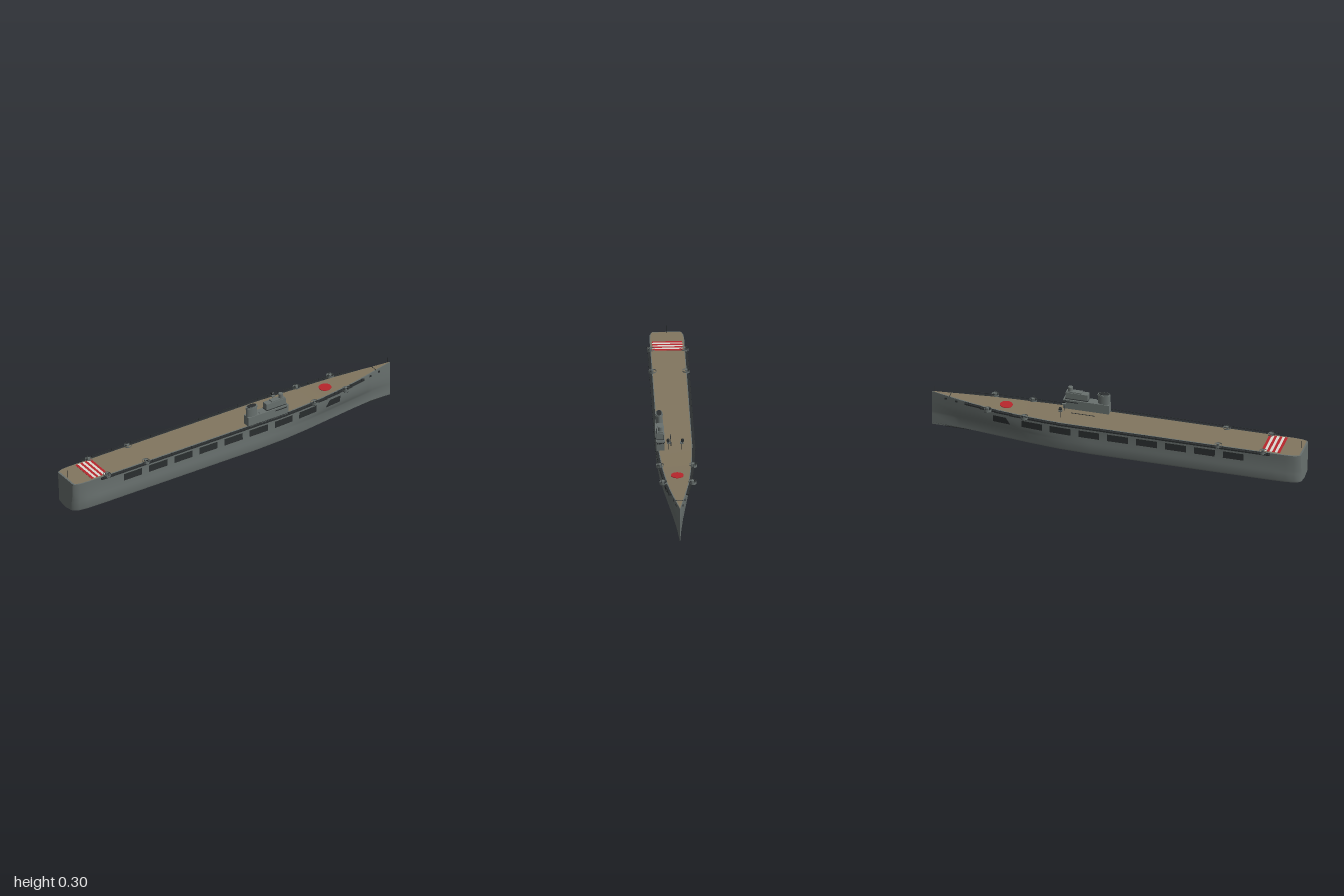
import * as THREE from 'three';
import { toCreasedNormals } from 'three/addons/utils/BufferGeometryUtils.js';

const mat = (name, color, side = THREE.FrontSide) => {
  const m = new THREE.MeshStandardMaterial({ color, side });
  m.name = name;
  return m;
};

// piecewise linear lookup in [x, value] pairs
function lookup(t, x) {
  if (x <= t[0][0]) return t[0][1];
  for (let i = 1; i < t.length; i++) {
    const [x0, v0] = t[i - 1], [x1, v1] = t[i];
    if (x <= x1) return v0 + (v1 - v0) * (x - x0) / (x1 - x0);
  }
  return t[t.length - 1][1];
}
const deckTable = [[-1, .07], [-.99, .079], [-.965, .087], [-.92, .09], [.25, .09], [.4, .083], [.55, .072], [.7, .056], [.85, .031], [1, .0005]];
const bilgeTable = [[-1, .06], [-.99, .073], [-.965, .084], [-.92, .09], [-.85, .092], [.12, .092], [.3, .084], [.45, .068], [.6, .047], [.75, .026], [.88, .011], [1, .0005]];
const sheerTable = [[-1, .176], [.3, .174], [.5, .177], [.75, .186], [1, .2]];
const deckHalf = x => lookup(deckTable, x);
const sheer = x => lookup(sheerTable, x);

// half section as [y, z], from keel to deck edge
function section(x) {
  const b = lookup(bilgeTable, x), d = deckHalf(x);
  return [[.002, 0], [.013, b * .97], [.022, b], [.065, b], [.08, b + (d * .98 - b) * .35], [.105, b + (d * .98 - b) * .75], [.14, d * .98], [sheer(x), d]];
}
const sideZ = (x, y) => lookup(section(x), y);
const stations = [...new Set([...deckTable, ...bilgeTable, ...sheerTable].map(p => p[0]))].sort((a, b) => a - b);

function gridGeometry(rings, caps) {
  const pos = [], idx = [], n = rings[0].length;
  rings.forEach(r => r.forEach(p => pos.push(...p)));
  for (let i = 0; i < rings.length - 1; i++) for (let j = 0; j < n - 1; j++) {
    const a = i * n + j, b = a + n;
    idx.push(a, b, a + 1, b, b + 1, a + 1);
  }
  if (caps) for (let j = 1; j < n - 1; j++) idx.push(0, j, j + 1);
  const g = new THREE.BufferGeometry();
  g.setAttribute('position', new THREE.Float32BufferAttribute(pos, 3));
  g.setIndex(idx);
  g.computeVertexNormals();
  return g;
}

export function createModel() {
  const ship = new THREE.Group();
  ship.name = 'carrier';
  const grey = mat('hull grey', 0x69716f, THREE.DoubleSide);
  const tan = mat('deck tan', 0x82765f, THREE.DoubleSide);
  const dark = mat('dark grey', 0x2b2f30, THREE.DoubleSide);
  const red = mat('red', 0xb8262c);
  const white = mat('white', 0xdcdad2);
  const add = (name, geo, m, x = 0, y = 0, z = 0, parent = ship) => {
    const mesh = new THREE.Mesh(geo, m);
    mesh.name = name;
    mesh.position.set(x, y, z);
    parent.add(mesh);
    return mesh;
  };
  const box = (name, w, h, d, m, x, y, z, parent) => add(name, new THREE.BoxGeometry(w, h, d), m, x, y, z, parent);
  const cyl = (name, r, h, m, x, y, z, parent, sides = 16) => add(name, new THREE.CylinderGeometry(r, r, h, sides), m, x, y, z, parent);

  // hull: loft of closed sections, port and starboard
  const rings = stations.map(x => {
    const s = section(x);
    const ring = [...s.map(([y, z]) => [x, y, z]), ...s.slice(1).reverse().map(([y, z]) => [x, y, -z])];
    return [...ring, ring[0]];
  });
  add('hull', toCreasedNormals(gridGeometry(rings, true), .6), grey);
  box('keel', 1.9, .004, .006, dark, -.02, .002, 0);

  // flight deck, slightly inside the hull edge
  const deckRings = stations.map(x => {
    const px = Math.max(x, -.992), z = Math.max(deckHalf(px) - .004, 0);
    return [[px, sheer(px) + .002, z], [px, sheer(px) + .002, -z]];
  });
  add('flightDeck', gridGeometry(deckRings), tan);

  // stern stripes and deck disc
  for (let i = 0; i < 7; i++)
    box('sternStripe', .0142, .002, .156, i % 2 ? white : red, -.882 + i * .0142, sheer(-.84) + .0025, 0);
  const disc = cyl('deckDisc', .033, .004, red, .6, sheer(.6) + .003, 0, ship, 32);
  disc.rotation.z = .036;
  box('deckSlot', .13, .002, .004, dark, .195, .1765, .02);

  // hangar openings follow the hull side
  const opening = (x0, x1, top0, s) => {
    const rows = [];
    for (let i = 0; i <= 4; i++) {
      const row = [];
      for (let j = 0; j <= 2; j++) {
        const y = .108 + .039 * j / 2, a = x0 + (top0 - x0) * j / 2;
        const x = a + (x1 - a) * i / 4;
        row.push([x, y, s * (sideZ(x, y) + .0025)]);
      }
      rows.push(row);
    }
    add('hangarOpening', gridGeometry(rows), dark);
  };

  for (const s of [1, -1]) {
    for (let i = 0; i < 8; i++) {
      const x = -.698 + i * .155;
      opening(x, x + .112, x, s);
    }
    opening(.56, .655, .585, s);

    // straight catwalk, then stepped lengths along the tapering bow
    box('catwalk', 1.14, .008, .014, dark, -.27, .17, s * .097);
    box('catwalkRail', 1.14, .002, .002, dark, -.27, .182, s * .103);
    for (let i = 0; i < 6; i++) {
      const a = .3 + i * .084, b = a + .09, m = (a + b) / 2;
      const slope = Math.atan2(deckHalf(b) - deckHalf(a), b - a);
      const walk = box('bowCatwalk', .092, .008, .014, dark, m, sheer(m) - .005, s * (deckHalf(m) + .007));
      const rail = box('bowRail', .092, .002, .002, dark, m, sheer(m) + .007, s * (deckHalf(m) + .013));
      walk.rotation.y = rail.rotation.y = -s * slope;
    }
    for (let x = -.83; x < .8; x += .06)
      box('railPost', .002, .018, .002, dark, x, sheer(x) + .001, s * (deckHalf(x) + .013));

    // gun tubs
    for (const [x, z] of [[-.8, .087], [-.56, .087], [.48, .086], [.68, .076]]) {
      const gun = new THREE.Group();
      gun.name = 'gunTub';
      gun.position.set(x, sheer(x), s * z);
      ship.add(gun);
      cyl('tubFloor', .019, .006, dark, 0, -.005, 0, gun);
      add('tubWall', new THREE.CylinderGeometry(.02, .02, .014, 16, 1, true), grey, 0, .001, 0, gun);
      box('gunMount', .014, .012, .012, grey, 0, .006, 0, gun);
      for (const o of [-.003, .003]) {
        const barrel = cyl('gunBarrel', .0015, .024, dark, o, .012, s * .01, gun, 8);
        barrel.rotation.x = s * 1.2;
      }
    }

    // anchors
    for (const x of [.86, .92])
      box('anchor', .012, .01, .004, dark, x, .178, s * (sideZ(x, .178) + .001));

    // searchlights on slim posts
    const z = s * .034;
    cyl('lightPost', .0015, .04, dark, .3, .195, z, ship, 8);
    box('lightBase', .018, .008, .018, grey, .3, .217, z);
    cyl('searchlight', .008, .014, dark, .3, .229, z + s * .003).rotation.z = Math.PI / 2;
  }

  // island
  const island = new THREE.Group();
  island.name = 'island';
  ship.add(island);
  box('islandBase', .245, .054, .042, grey, .188, .202, .077, island);
  box('islandRoofEdge', .17, .003, .046, grey, .226, .229, .077, island);
  box('bridge', .12, .04, .034, grey, .24, .25, .077, island);
  box('bridgeRail', .124, .003, .038, dark, .24, .235, .077, island);
  box('bridgeTop', .08, .006, .028, grey, .255, .273, .077, island);
  cyl('director', .0125, .03, grey, .277, .284, .077, island);
  for (let i = 0; i < 4; i++)
    box('bridgeWindow', .003, .007, .007, dark, .3105, .218, .0635 + i * .009, island);
  for (const z of [.0555, .0985])
    box('sideWindowBand', .07, .005, .002, dark, .265, .218, z, island);
  const funnel = cyl('funnel', 1, .105, grey, .097, .2315, .077, island, 24);
  funnel.scale.set(.033, 1, .018);
  const cap = cyl('funnelMouth', 1, .003, dark, .097, .2845, .077, island, 24);
  cap.scale.set(.028, 1, .014);
  const band = cyl('funnelBand', 1, .005, grey, .097, .276, .077, island, 24);
  band.scale.set(.035, 1, .02);

  // flagstaffs
  cyl('bowStaff', .001, .035, dark, .985, .216, 0, ship, 6);
  cyl('sternStaff', .001, .045, dark, -.985, .198, 0, ship, 6);
  box('breakwater', .003, .004, .06, dark, .9, .195, 0).scale.z = .7;
  return ship;
}
